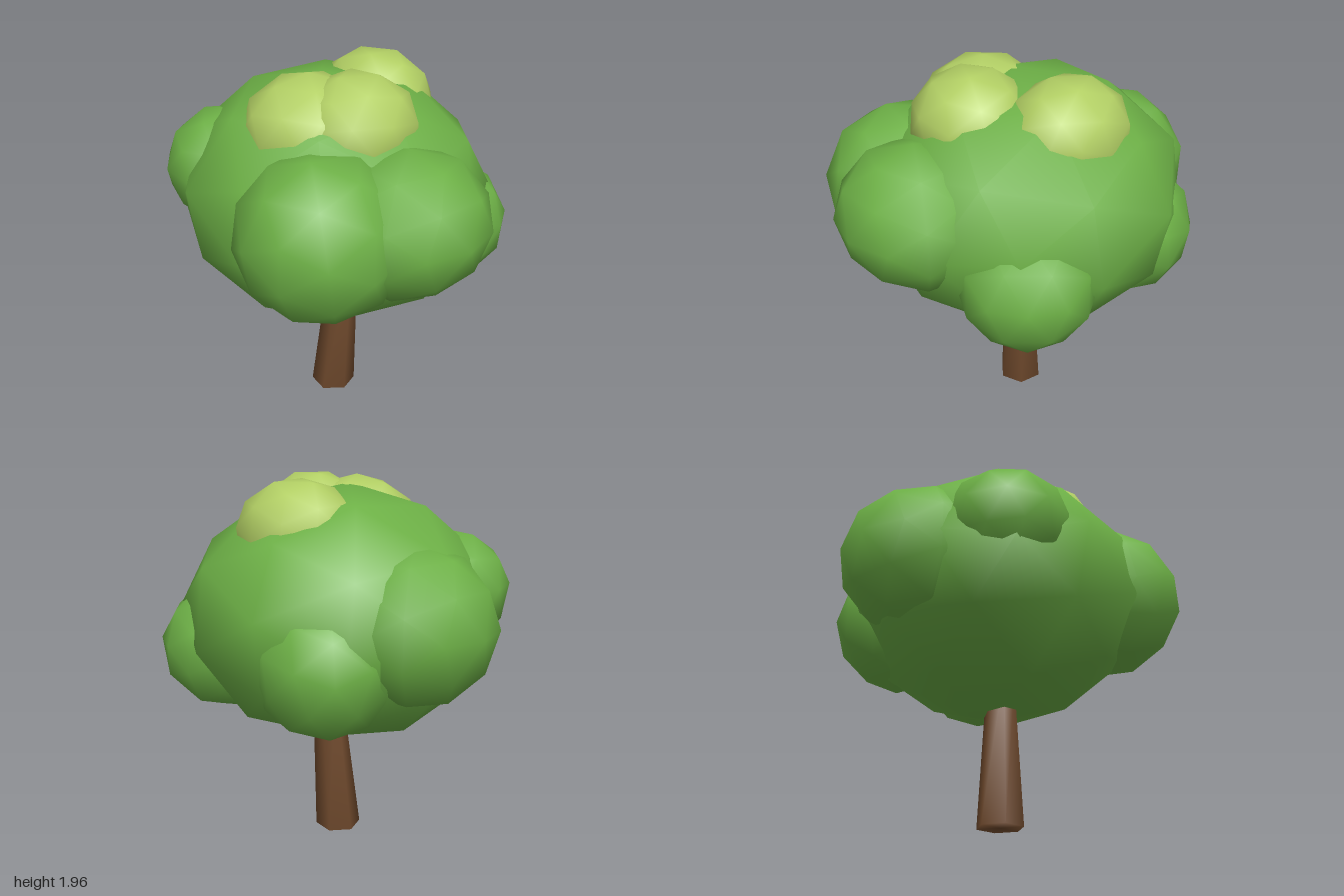
import * as THREE from 'three';
import { mergeVertices } from 'three/addons/utils/BufferGeometryUtils.js';

function material(name, color) {
  const m = new THREE.MeshStandardMaterial({ color });
  m.name = name;
  return m;
}

// Weld all corners so the shading runs smoothly over the facets
function smooth(geometry) {
  geometry.deleteAttribute('uv');
  geometry.deleteAttribute('normal');
  const merged = mergeVertices(geometry, 1e-4);
  merged.computeVertexNormals();
  return merged;
}

// One foliage clump: centre, radii and a turn that varies the facets
function blob(name, mat, [x, y, z], [rx, ry, rz], turn) {
  const g = smooth(new THREE.IcosahedronGeometry(1, 1));
  g.rotateX(turn * 0.6);
  g.rotateY(turn);
  g.scale(rx, ry, rz);
  const mesh = new THREE.Mesh(g, mat);
  mesh.name = name;
  mesh.position.set(x, y, z);
  return mesh;
}

export function createModel() {
  const tree = new THREE.Group();
  tree.name = 'tree';
  const bark = material('bark brown', 0x704a2d);
  const leaf = material('leaf green', 0x6db046);
  const sunlit = material('light leaf green', 0xb2cf64);

  // Six-sided trunk, tapered and leaning slightly into the crown
  const height = 0.8;
  const trunkGeometry = new THREE.CylinderGeometry(0.08, 0.125, height, 6);
  trunkGeometry.rotateY(0.35);
  trunkGeometry.translate(0, height / 2, 0);
  const p = trunkGeometry.attributes.position;
  for (let i = 0; i < p.count; i++) {
    const t = p.getY(i) / height;
    p.setX(i, p.getX(i) - 0.01 + 0.045 * t);
    p.setZ(i, p.getZ(i) - 0.025 - 0.035 * t);
  }
  const trunk = new THREE.Mesh(smooth(trunkGeometry), bark);
  trunk.name = 'trunk';
  tree.add(trunk);

  // Crown and its side clumps
  tree.add(
    blob('crown', leaf, [-0.035, 1.26, -0.045], [0.84, 0.67, 0.815], 0.25),
    blob('frontLeftClump', leaf, [0.4, 1.3, 0.41], [0.43, 0.42, 0.43], 0.4),
    blob('leftClump', leaf, [0.6, 1.33, 0.05], [0.4, 0.37, 0.43], 0),
    blob('rightClump', leaf, [-0.6, 1.28, -0.11], [0.4, 0.4, 0.42], 0),
    blob('frontRightClump', leaf, [-0.44, 1.38, 0.34], [0.34, 0.32, 0.34], 1.9),
    blob('backLeftClump', leaf, [0.365, 1.09, -0.475], [0.35, 0.34, 0.35], 2.4),
    blob('backRightClump', leaf, [-0.34, 1.11, -0.47], [0.36, 0.36, 0.35], 0.9),
  );

  // Lighter clumps on the top
  tree.add(
    blob('backTopClump', sunlit, [-0.03, 1.69, -0.33], [0.33, 0.28, 0.3], 0.5),
    blob('leftTopClump', sunlit, [0.24, 1.7, 0.05], [0.31, 0.28, 0.32], 1.1),
    blob('frontTopClump', sunlit, [0.05, 1.67, 0.19], [0.34, 0.29, 0.34], 1.7),
  );
  return tree;
}
